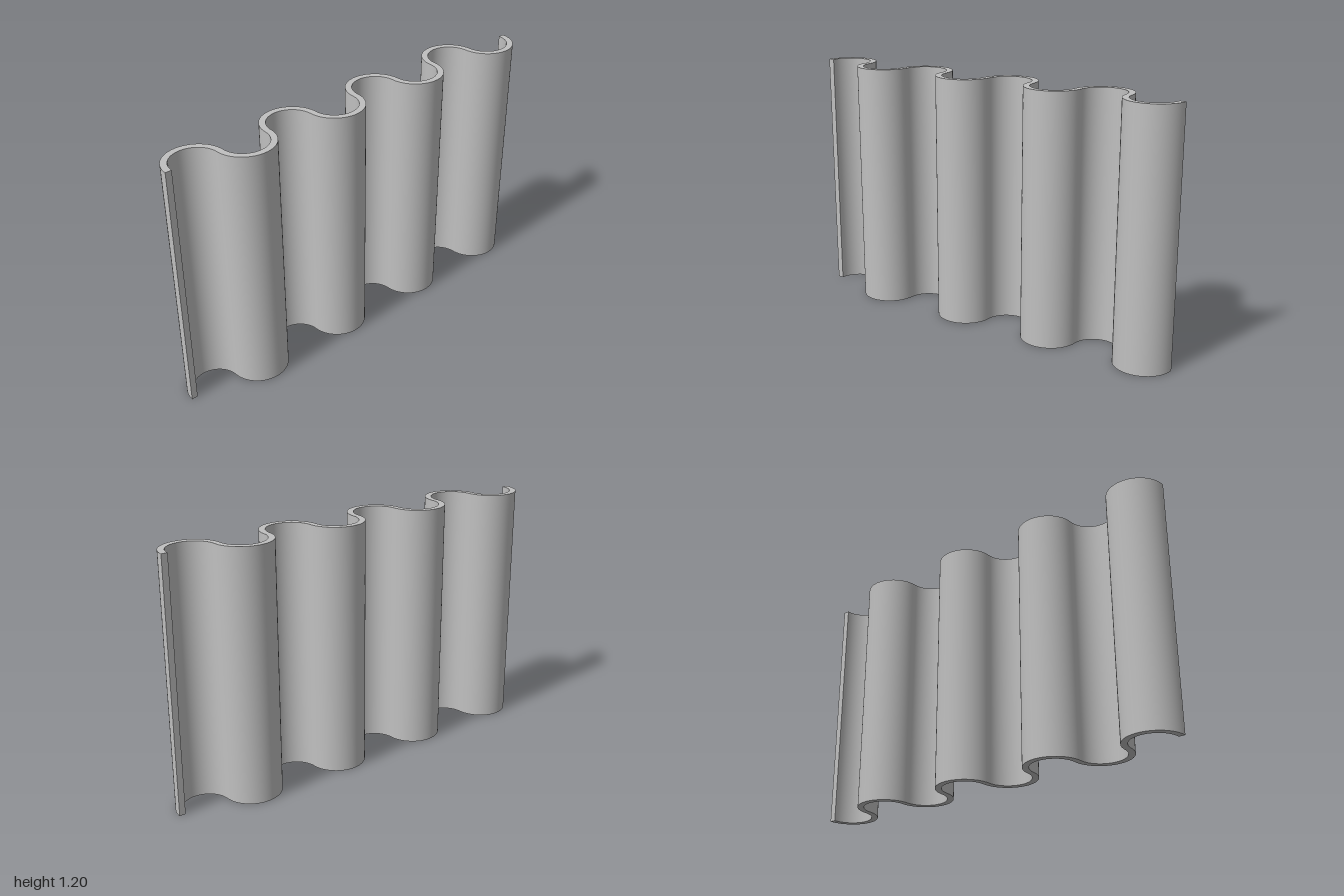
import * as THREE from 'three';
import { toCreasedNormals } from 'three/addons/utils/BufferGeometryUtils.js';

const BENDS = 8, RADIUS = 0.1231, THICKNESS = 0.03, HEIGHT = 1.195, STEPS = 28;

// One edge of the wavy strip, left to right; offset is measured from the centreline
function waveEdge(offset) {
  const points = [];
  for (let i = 0; i < BENDS; i++) {
    const side = i % 2 ? -1 : 1;
    const cx = (2 * i + 1 - BENDS) * RADIUS;
    const r = RADIUS + side * offset;
    for (let s = i ? 1 : 0; s <= STEPS; s++) {
      const a = Math.PI * (1 - s / STEPS);
      points.push(new THREE.Vector2(cx + r * Math.cos(a), side * r * Math.sin(a)));
    }
  }
  return points;
}

export function createModel() {
  const group = new THREE.Group();
  group.name = 'corrugatedPanel';

  const grey = new THREE.MeshStandardMaterial({ color: 0xc0c0c0 });
  grey.name = 'plain grey';

  // Closed outline of alternating half rings, raised to full height
  const outline = new THREE.Shape([
    ...waveEdge(THICKNESS / 2),
    ...waveEdge(-THICKNESS / 2).reverse(),
  ]);
  const solid = new THREE.ExtrudeGeometry(outline, { depth: HEIGHT, bevelEnabled: false });
  solid.rotateX(-Math.PI / 2);

  const sheet = new THREE.Mesh(toCreasedNormals(solid, 0.6), grey);
  sheet.name = 'wavySheet';
  group.add(sheet);
  return group;
}
